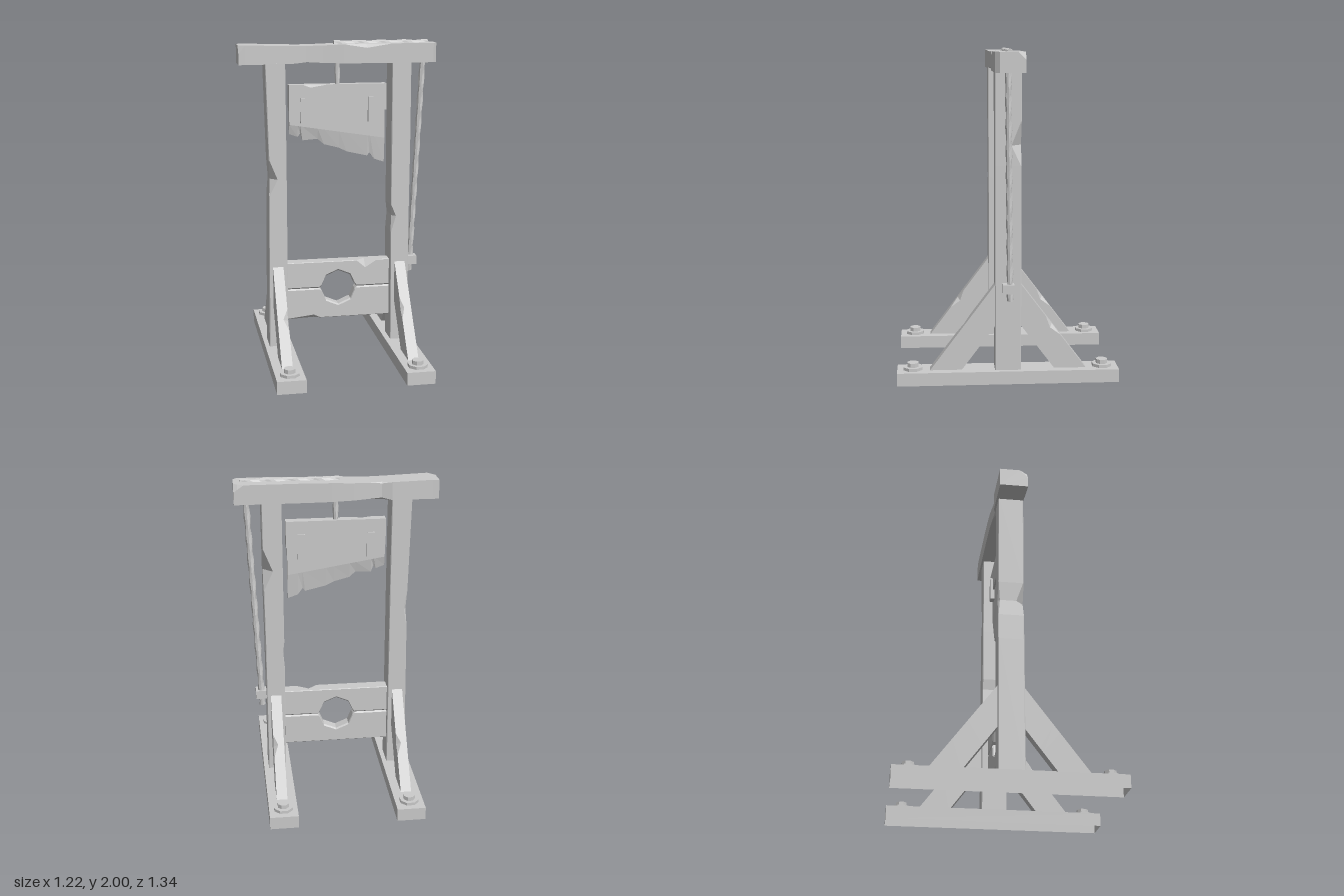
import * as THREE from 'three';

const mat = new THREE.MeshStandardMaterial({ color: 0xcccccc, flatShading: true });
const hollowMat = new THREE.MeshStandardMaterial({ color: 0xcccccc, flatShading: true, side: THREE.DoubleSide });

function add(parent, name, geometry, x = 0, y = 0, z = 0, material = mat) {
  const mesh = new THREE.Mesh(geometry, material);
  mesh.name = name;
  mesh.position.set(x, y, z);
  parent.add(mesh);
  return mesh;
}

// Skin a row of equal-sized rings of [x, y, z] points, with both ends capped
function loft(rings) {
  const n = rings[0].length, pts = rings.flat(), idx = [];
  for (let r = 0; r < rings.length - 1; r++) {
    for (let i = 0; i < n; i++) {
      const a = r * n + i, b = r * n + (i + 1) % n;
      idx.push(a, b, b + n, a, b + n, a + n);
    }
  }
  const end = (rings.length - 1) * n;
  for (let i = 1; i < n - 1; i++) idx.push(0, i + 1, i, end, end + i, end + i + 1);
  // turn the faces outward whatever the ring direction
  let volume = 0;
  const v = pts.map(p => new THREE.Vector3(...p));
  for (let i = 0; i < idx.length; i += 3) {
    volume += v[idx[i]].dot(v[idx[i + 1]].clone().cross(v[idx[i + 2]]));
  }
  if (volume < 0) idx.reverse();
  const g = new THREE.BufferGeometry();
  g.setAttribute('position', new THREE.Float32BufferAttribute(pts.flat(), 3));
  g.setIndex(idx);
  const flat = g.toNonIndexed();
  flat.computeVertexNormals();
  return flat;
}

// Rectangle with cut corners, in the order (a0,b0) (a1,b0) (a1,b1) (a0,b1)
function section(a0, a1, b0, b1, [c0, c1, c2, c3] = [0, 0, 0, 0]) {
  return [[a0, b0 + c0], [a0 + c0, b0], [a1 - c1, b0], [a1, b0 + c1],
    [a1, b1 - c2], [a1 - c2, b1], [a0 + c3, b1], [a0, b1 - c3]];
}

// Beam along x from rows of [x, zBack, zFront, yBottom, yTop, cuts]
const beamX = rows => loft(rows.map(([x, ...s]) => section(...s).map(([z, y]) => [x, y, z])));

// Post along y from rows of [y, x0, x1, cuts]
const postY = rows => loft(rows.map(([y, x0, x1, cuts]) =>
  section(x0, x1, -0.077, 0.08, cuts).map(([x, z]) => [x, y, z])));

// Twisted rope standing on its middle
function rope(length, radius, turns) {
  const g = new THREE.CylinderGeometry(radius, radius, length, 8, Math.max(2, Math.round(length * 36)));
  const p = g.attributes.position;
  for (let i = 0; i < p.count; i++) {
    const x = p.getX(i), y = p.getY(i), z = p.getZ(i);
    const swell = 0.88 + 0.12 * Math.cos(2 * Math.atan2(z, x) + y * turns);
    p.setXYZ(i, x * swell, y, z * swell);
  }
  g.computeVertexNormals();
  return g;
}

function buildBase(group) {
  for (const side of [-1, 1]) {
    const x = side * 0.39;
    // Foot rail, hollow underneath
    const foot = new THREE.BoxGeometry(0.175, 0.08, 1.34);
    const kept = Array.from(foot.index.array).filter((_, i) => i < 18 || i >= 24);
    foot.setIndex(kept);
    add(group, 'footRail', foot, x, 0.04, 0, hollowMat);

    for (const dir of [-1, 1]) {
      // Bolt with washer
      const bolt = new THREE.Group();
      bolt.name = 'bolt';
      bolt.position.set(x, 0.08, dir * 0.575);
      const washer = new THREE.CylinderGeometry(0.061, 0.061, 0.018, 8);
      add(bolt, 'washer', washer.rotateY(Math.PI / 8), 0, 0.009, 0);
      const nut = new THREE.CylinderGeometry(0.036, 0.036, 0.026, 8);
      add(bolt, 'nut', nut.rotateY(Math.PI / 8), 0, 0.03, 0);
      group.add(bolt);

      // Slanted brace with one chipped edge
      const mid = side < 0 ? 0.47 : 0.52;
      const chip = dir > 0 ? (side < 0 ? [0, 0.03, 0, 0] : [0.022, 0, 0, 0]) : [0, 0.028, 0, 0];
      const rows = [[0], [mid - 0.12], [mid, chip], [mid + 0.1], [1]];
      const brace = loft(rows.map(([t, cuts]) =>
        section(x - 0.033, x + 0.033, 0, 0.2, cuts).map(([px, b]) => {
          const s = b / 0.2;
          const y = THREE.MathUtils.lerp(0.08 + 0.525 * t, 0.08 + 0.27 * t, s);
          const z = THREE.MathUtils.lerp(0.472 - 0.395 * t, 0.28 - 0.203 * t, s);
          return [px, y, dir * z];
        })));
      add(group, 'brace', brace);
    }
  }
}

function buildPosts(group) {
  const c = [0.004, 0.004, 0.004, 0.004];
  add(group, 'rightPost', postY([
    [0.08, -0.45, -0.33, c], [0.9, -0.443, -0.33, c], [1.06, -0.44, -0.33, c],
    [1.16, -0.432, -0.33, [0.012, 0.004, 0.004, 0.045]],
    [1.28, -0.44, -0.33, c], [1.87, -0.455, -0.332, c]]));
  add(group, 'leftPost', postY([
    [0.08, 0.335, 0.447, c], [0.8, 0.33, 0.447, c],
    [0.9, 0.338, 0.447, [0.004, 0.004, 0.004, 0.025]],
    [0.97, 0.33, 0.447, c], [1.32, 0.33, 0.45, c],
    [1.44, 0.33, 0.45, [0.004, 0.06, 0.004, 0.004]],
    [1.58, 0.33, 0.45, c], [1.87, 0.33, 0.45, c]]));
}

function buildTopBeam(group) {
  add(group, 'topBeam', beamX([
    [-0.613, -0.088, 0.086, 1.865, 1.98, [0, 0, 0.05, 0]],
    [-0.572, -0.088, 0.086, 1.865, 1.981],
    [-0.33, -0.09, 0.076, 1.866, 1.975],
    [-0.27, -0.076, 0.073, 1.868, 1.974, [0.012, 0, 0, 0.008]],
    [-0.2, -0.081, 0.071, 1.876, 1.973],
    [-0.1, -0.088, 0.074, 1.87, 1.975],
    [0.03, -0.09, 0.081, 1.866, 1.98],
    [0.17, -0.09, 0.085, 1.865, 1.983, [0, 0, 0.025, 0]],
    [0.33, -0.09, 0.086, 1.865, 1.983],
    [0.55, -0.09, 0.086, 1.865, 1.983],
    [0.587, -0.09, 0.086, 1.865, 1.983, [0, 0, 0, 0.025]],
    [0.61, -0.09, 0.06, 1.865, 1.983, [0, 0, 0, 0.045]]]));
}

function buildStocks(group) {
  // Half of the neck hole: distance from the seam at each x
  const seam = 0.437, e = 0.009;
  const hole = [[-0.33, 0], [-0.12, 0], [-0.108, 0.014], [-0.08, 0.078], [0, 0.112],
    [0.08, 0.078], [0.108, 0.014], [0.12, 0], [0.33, 0]];
  const upper = hole.map(([x, h]) => [x, -0.04, 0.04, seam + h, 0.61, [e, e, 0.003, 0.003]]);
  upper.splice(8, 0,
    [0.175, -0.04, 0.04, seam, 0.61, [e, e, 0.05, 0.003]],
    [0.25, -0.04, 0.04, seam, 0.61, [e, e, 0.003, 0.003]]);
  add(group, 'upperStock', beamX(upper));
  const lower = hole.map(([x, h]) => [x, -0.04, 0.04, 0.24, seam - h, [0.003, 0.003, e, e]]);
  lower.splice(1, 0, [-0.16, -0.04, 0.04, 0.24, seam, [0.003, 0.022, e, e]]);
  add(group, 'lowerStock', beamX(lower));
}

function buildBlade(group) {
  add(group, 'bladeHolder', beamX([
    [-0.305, -0.03, 0.03, 1.57, 1.735], [-0.22, -0.03, 0.03, 1.57, 1.735],
    [-0.17, -0.03, 0.03, 1.57, 1.735, [0, 0, 0.018, 0]],
    [-0.06, -0.03, 0.03, 1.57, 1.735], [0.305, -0.03, 0.03, 1.57, 1.735]]));

  // Notched cutting edge, left to right
  const edge = [[-0.303, 1.43], [-0.25, 1.41], [-0.235, 1.43], [-0.22, 1.388], [-0.125, 1.395],
    [-0.085, 1.36], [0.01, 1.335], [0.06, 1.31], [0.19, 1.28], [0.205, 1.30], [0.235, 1.258], [0.298, 1.237]];
  add(group, 'blade', loft(edge.map(([x, y]) => {
    const bevel = 1.44 - 0.16 * x, t = 0.018;
    return [[x, 1.58, t], [x, bevel, t], [x, y, 0.003], [x, y, -0.003], [x, bevel, -t], [x, 1.58, -t]];
  })));

  for (const x of [-0.212, 0.212]) {
    add(group, 'bladeClamp', new THREE.BoxGeometry(0.047, 0.155, 0.09), x, 1.577, 0);
  }
}

function buildRopes(group) {
  add(group, 'bladeRope', rope(0.15, 0.018, 44), 0, 1.8, 0);

  // Rope lying in the top of the beam
  add(group, 'topRope', rope(0.59, 0.023, 44), 0.273, 1.979, 0).rotation.z = Math.PI / 2;

  // Hanging rope with its knot
  const top = new THREE.Vector3(0.538, 1.88, 0.008), end = new THREE.Vector3(0.474, 0.515, -0.008);
  const dir = top.clone().sub(end);
  const hanging = add(group, 'hangingRope', rope(dir.length(), 0.021, 44));
  hanging.position.copy(top).add(end).multiplyScalar(0.5);
  hanging.quaternion.setFromUnitVectors(new THREE.Vector3(0, 1, 0), dir.normalize());
  add(group, 'ropeKnot', new THREE.BoxGeometry(0.072, 0.055, 0.068), 0.478, 0.592, 0.002);
}

export function createModel() {
  const group = new THREE.Group();
  group.name = 'guillotine';
  for (const build of [buildBase, buildPosts, buildTopBeam, buildStocks, buildBlade, buildRopes]) build(group);
  return group;
}
